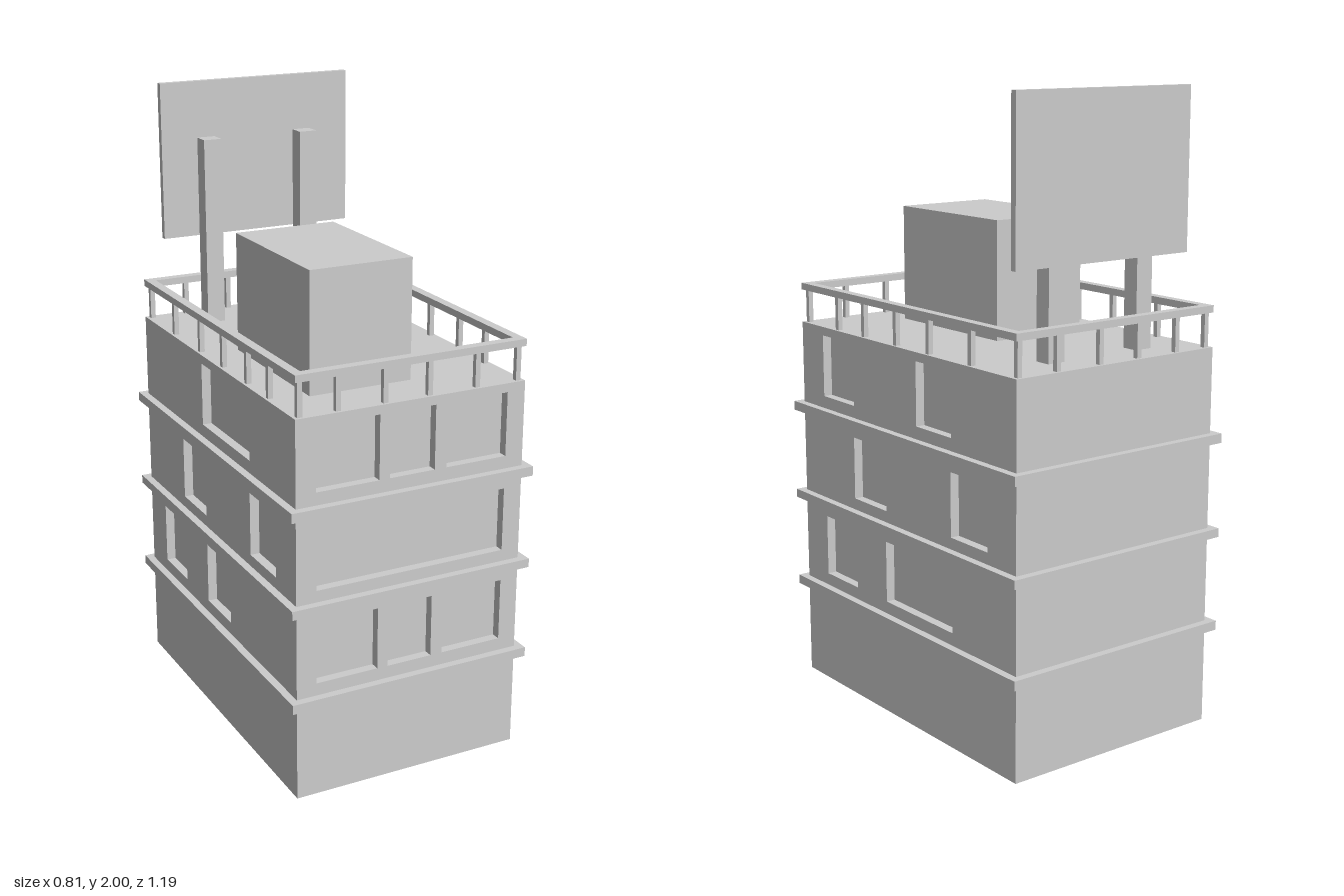
import * as THREE from 'three';

const solid = new THREE.MeshStandardMaterial({ color: 0xcccccc, flatShading: true });
const thin = new THREE.MeshStandardMaterial({ color: 0xcccccc, flatShading: true, side: THREE.DoubleSide });

const HX = 0.38, HZ = 0.57, ROOF = 1.215, LIP = 0.025, RECESS = 0.03;
const BANDS = [[0.305, 0.335], [0.612, 0.64], [0.915, 0.945]];

function add(parent, name, geometry, x = 0, y = 0, z = 0, material = solid) {
  const mesh = new THREE.Mesh(geometry, material);
  mesh.name = name;
  mesh.position.set(x, y, z);
  parent.add(mesh);
  return mesh;
}

// Box given by its minimum and maximum on each axis
function box(parent, name, [x0, x1], [y0, y1], [z0, z1]) {
  return add(parent, name, new THREE.BoxGeometry(x1 - x0, y1 - y0, z1 - z0),
    (x0 + x1) / 2, (y0 + y1) / 2, (z0 + z1) / 2);
}

function rectangle(target, x0, x1, y0, y1) {
  target.moveTo(x0, y0);
  target.lineTo(x1, y0);
  target.lineTo(x1, y1);
  target.lineTo(x0, y1);
  target.closePath();
  return target;
}

// Recessed pane with its four reveals, cut into a wall at z = dist
function windowRecess(parent, [x0, x1], [y0, y1], dist) {
  const g = new THREE.Group();
  g.name = 'window';
  const w = x1 - x0, h = y1 - y0, cx = (x0 + x1) / 2, cy = (y0 + y1) / 2;
  add(g, 'pane', new THREE.PlaneGeometry(w, h), cx, cy, dist - RECESS, thin);
  for (const s of [-1, 1]) {
    add(g, 'jamb', new THREE.PlaneGeometry(RECESS, h), cx + s * w / 2, cy, dist - RECESS / 2, thin)
      .rotation.y = -s * Math.PI / 2;
    add(g, s < 0 ? 'sill' : 'lintel', new THREE.PlaneGeometry(w, RECESS), cx, cy + s * h / 2, dist - RECESS / 2, thin)
      .rotation.x = s * Math.PI / 2;
  }
  parent.add(g);
}

// One side of the building: storey panels with window openings, plus band edges
function facade(name, half, dist, angle, storeys) {
  const g = new THREE.Group();
  g.name = name;
  g.rotation.y = angle;
  const levels = [0, ...BANDS.flat(), ROOF];
  const rows = [null, [0.375, 0.575], [0.677, 0.88], [0.985, 1.187]];
  for (let i = 0; i < 4; i++) {
    const shape = rectangle(new THREE.Shape(), -half, half, levels[2 * i], levels[2 * i + 1]);
    for (const span of storeys[i] || []) {
      shape.holes.push(rectangle(new THREE.Path(), ...span, ...rows[i]));
      windowRecess(g, span, rows[i], dist);
    }
    add(g, 'storeyWall', new THREE.ShapeGeometry(shape), 0, 0, dist, thin);
  }
  for (const [y0, y1] of BANDS) {
    add(g, 'bandEdge', new THREE.PlaneGeometry(2 * (half + LIP), y1 - y0), 0, (y0 + y1) / 2, dist + LIP, thin);
  }
  return g;
}

export function createModel() {
  const model = new THREE.Group();
  model.name = 'building';

  // Walls, from ground floor up
  const three = [[-0.315, -0.11], [-0.075, 0.075], [0.115, 0.32]];
  model.add(
    facade('frontWall', HX, HZ, 0, [null, three, [[-0.315, 0.32]], three]),
    facade('backWall', HX, HZ, Math.PI, []),
    facade('leftWall', HZ, HX, Math.PI / 2, [null,
      [[-0.445, -0.265], [-0.095, 0.26]],
      [[-0.27, -0.09], [0.255, 0.435]],
      [[-0.445, -0.265], [0.08, 0.26]]]),
    facade('rightWall', HZ, HX, -Math.PI / 2, [null,
      [[-0.445, -0.265], [-0.085, 0.095]],
      [[-0.265, -0.085], [0.255, 0.435]],
      [[-0.095, 0.26]]]));

  // Horizontal faces of the bands; the inside stays hollow
  const ring = rectangle(new THREE.Shape(), -HX - LIP, HX + LIP, -HZ - LIP, HZ + LIP);
  ring.holes.push(rectangle(new THREE.Path(), -HX, HX, -HZ, HZ));
  for (const band of BANDS) {
    band.forEach((y, i) => {
      add(model, i ? 'bandTop' : 'bandUnderside', new THREE.ShapeGeometry(ring), 0, y, 0, thin)
        .rotation.x = i ? -Math.PI / 2 : Math.PI / 2;
    });
  }

  // Roof deck and rooftop hut
  add(model, 'roof', new THREE.PlaneGeometry(2 * HX, 2 * HZ), 0, ROOF, 0, thin).rotation.x = -Math.PI / 2;
  box(model, 'rooftopHut', [-0.255, 0.08], [ROOF, 1.59], [-0.093, 0.41]);

  // Railing: a square-section handrail on slim posts
  const railing = new THREE.Group();
  railing.name = 'railing';
  const rail = rectangle(new THREE.Shape(), -HX, HX, -HZ, HZ);
  rail.holes.push(rectangle(new THREE.Path(), -0.35, 0.35, -0.54, 0.54));
  add(railing, 'handrail', new THREE.ExtrudeGeometry(rail, { depth: 0.022, bevelEnabled: false }), 0, 1.322, 0)
    .rotation.x = -Math.PI / 2;
  const post = new THREE.BoxGeometry(0.016, 1.322 - ROOF, 0.016);
  const py = (ROOF + 1.322) / 2;
  for (const s of [-1, 1]) {
    for (const x of [-0.361, -0.24, -0.087, 0.06, 0.22, 0.361]) add(railing, 'railPost', post, x, py, s * 0.553);
    for (const z of [0.37, 0.22, 0.043, -0.13, -0.34]) add(railing, 'railPost', post, s * 0.364, py, z);
  }
  model.add(railing);

  // Billboard on two posts
  for (const x of [-0.22, 0.12]) box(model, 'billboardPost', [x, x + 0.06], [ROOF, 1.82], [-0.465, -0.41]);
  box(model, 'billboard', [-0.343, 0.318], [1.5, 2], [-0.486, -0.465]);

  return model;
}
